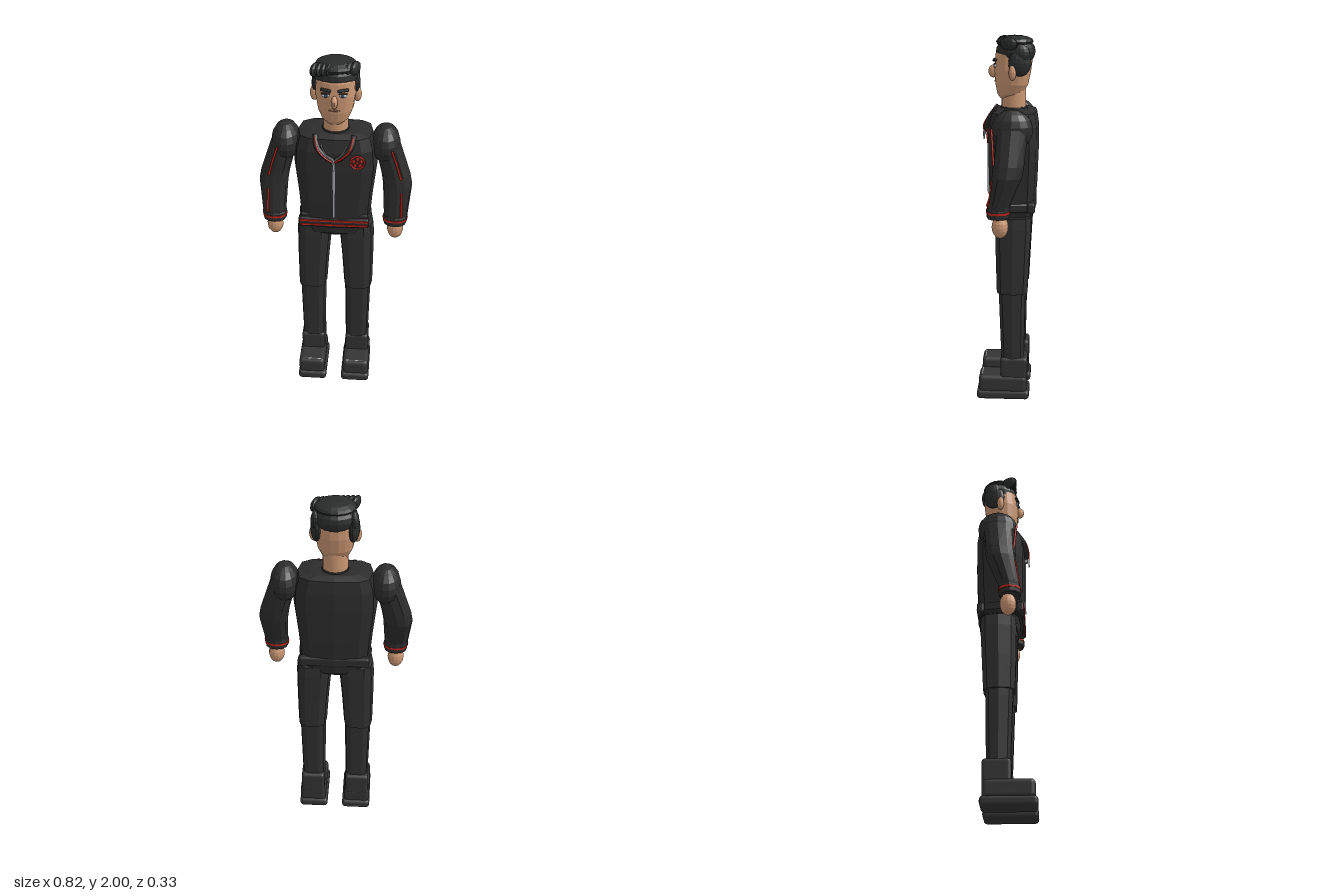
import * as THREE from 'three';
import { RoundedBoxGeometry } from 'three/addons/geometries/RoundedBoxGeometry.js';

const mat = (name, color) => {
  const m = new THREE.MeshStandardMaterial({ color });
  m.name = name;
  return m;
};

// Lofted, faceted body from rows [y, centreX, centreZ, radiusX, radiusZ], bottom to top
function loft(rows, sides = 12, power = 0.7) {
  const pos = [], idx = [];
  const bend = v => Math.sign(v) * Math.pow(Math.abs(v) < 1e-6 ? 0 : Math.abs(v), power);
  for (const [y, cx, cz, rx, rz] of rows)
    for (let j = 0; j < sides; j++) {
      const a = (j / sides) * Math.PI * 2;
      pos.push(cx + rx * bend(Math.cos(a)), y, cz + rz * bend(Math.sin(a)));
    }
  const top = (rows.length - 1) * sides, low = rows.length * sides;
  for (const r of [rows[0], rows[rows.length - 1]]) pos.push(r[1], r[0], r[2]);
  for (let j = 0; j < sides; j++) {
    const k = (j + 1) % sides;
    for (let i = 0; i < rows.length - 1; i++) {
      const a = i * sides + j, b = i * sides + k;
      idx.push(a, a + sides, b, b, a + sides, b + sides);
    }
    idx.push(low, j, k, low + 1, top + k, top + j);
  }
  const g = new THREE.BufferGeometry();
  g.setAttribute('position', new THREE.Float32BufferAttribute(pos, 3));
  g.setIndex(idx);
  return facet(g);
}

function facet(g) {
  const f = g.index ? g.toNonIndexed() : g;
  f.computeVertexNormals();
  return f;
}

const ball = (rx, ry, rz, w = 14, h = 10) => facet(new THREE.SphereGeometry(1, w, h).scale(rx, ry, rz));
const block = (w, h, d, r = 0.012) => new RoundedBoxGeometry(w, h, d, 2, r);
const cord = (pts, r) => new THREE.TubeGeometry(
  new THREE.CatmullRomCurve3(pts.map(p => new THREE.Vector3(...p))), 12, r, 6);

export function createModel() {
  const model = new THREE.Group();
  model.name = 'standingMan';
  const jacket = mat('jacketBlack', 0x2c2c2c), trouser = mat('trouserBlack', 0x303030);
  const boot = mat('bootBlack', 0x343434), hair = mat('hairBlack', 0x2a2b2b);
  const skin = mat('skin', 0xcb9773), red = mat('trimRed', 0xc4261c);
  const silver = mat('silver', 0xa4a6ab), white = mat('eyeWhite', 0xdfe3e6);
  const iris = mat('irisBlue', 0x3c4f60), lip = mat('lips', 0xa06a52);

  function add(name, geo, material, x = 0, y = 0, z = 0, parent = model) {
    const m = new THREE.Mesh(geo, material);
    m.name = name;
    m.position.set(x, y, z);
    parent.add(m);
    return m;
  }

  // Jacket body, hem and pelvis
  add('jacketBody', loft([
    [1.09, 0, -0.025, 0.19, 0.125], [1.22, 0, -0.027, 0.2, 0.133], [1.42, 0, -0.029, 0.222, 0.138],
    [1.53, 0, -0.03, 0.215, 0.137], [1.6, 0, -0.034, 0.195, 0.122], [1.615, 0, -0.034, 0.13, 0.085],
  ], 12, 0.6), jacket);
  add('jacketHem', loft([
    [1.065, 0, -0.025, 0.185, 0.122], [1.08, 0, -0.025, 0.198, 0.13],
    [1.115, 0, -0.025, 0.198, 0.13], [1.13, 0, -0.025, 0.188, 0.122],
  ], 12, 0.6), jacket);
  add('hemFront', block(0.375, 0.055, 0.04), jacket, 0, 1.098, 0.083);
  add('hemBack', block(0.375, 0.055, 0.04), jacket, 0, 1.098, -0.132);
  for (const y of [1.113, 1.088])
    add('hemStripe', new THREE.BoxGeometry(0.37, 0.009, 0.009), red, 0, y, 0.103);
  add('pelvis', loft([
    [0.975, 0, -0.03, 0.1, 0.06], [1.01, 0, -0.03, 0.165, 0.1], [1.08, 0, -0.03, 0.187, 0.115],
  ], 12, 0.6), trouser);

  // Zip
  add('zip', new THREE.BoxGeometry(0.012, 0.36, 0.014), silver, 0, 1.32, 0.106);
  add('zipSlider', block(0.02, 0.035, 0.014, 0.005), silver, 0, 1.485, 0.118);
  add('zipPull', block(0.012, 0.045, 0.008, 0.003), silver, 0, 1.465, 0.132);

  // Round chest badge: ring with a circle of studs
  const badge = new THREE.Group();
  badge.name = 'chestBadge';
  badge.position.set(0.122, 1.48, 0.1);
  model.add(badge);
  add('badgeRing', new THREE.TorusGeometry(0.036, 0.005, 6, 24), red, 0, 0, 0, badge);
  for (let i = 0; i < 5; i++) {
    const a = Math.PI / 2 + i * Math.PI * 0.4;
    add('badgeStud', ball(0.01, 0.01, 0.005, 8, 6), red, Math.cos(a) * 0.021, Math.sin(a) * 0.021, 0, badge);
  }
  add('badgeCentre', ball(0.007, 0.007, 0.005, 8, 6), red, 0, 0, 0, badge);

  // Neck and inner collar
  add('neck', new THREE.CylinderGeometry(0.066, 0.067, 0.16, 16), skin, 0, 1.65, -0.03);
  add('innerCollar', new THREE.CylinderGeometry(0.071, 0.085, 0.06, 16), jacket, 0, 1.592, -0.03);

  for (const s of [-1, 1]) {
    // Collar flap with red edge
    add('collarFlap', cord([[s * 0.1, 1.615, 0.06], [s * 0.085, 1.56, 0.1], [s * 0.045, 1.52, 0.115], [s * 0.008, 1.495, 0.115]], 0.014), jacket);
    add('collarTrim', cord([[s * 0.098, 1.61, 0.075], [s * 0.082, 1.555, 0.115], [s * 0.042, 1.516, 0.13], [s * 0.006, 1.492, 0.129]], 0.005), red);
    add('collarZip', cord([[s * 0.068, 1.575, 0.095], [s * 0.04, 1.535, 0.124], [s * 0.003, 1.5, 0.128]], 0.003), silver);
    add('pocket', block(0.06, 0.02, 0.025, 0.006), jacket, s * 0.15, 1.135, 0.075);

    // Arm
    add('shoulder', ball(0.077, 0.105, 0.11, 14, 9), jacket, s * 0.262, 1.532, -0.034);
    add('sleeve', loft([
      [1.085, s * 0.327, 0.035, 0.06, 0.054], [1.15, s * 0.33, 0.03, 0.065, 0.058],
      [1.3, s * 0.333, -0.012, 0.078, 0.078], [1.36, s * 0.322, -0.02, 0.077, 0.08],
      [1.54, s * 0.268, -0.034, 0.07, 0.085],
    ], 12, 0.9), jacket);
    add('cuff', loft([
      [1.083, s * 0.327, 0.035, 0.06, 0.055], [1.09, s * 0.327, 0.035, 0.064, 0.059],
      [1.128, s * 0.328, 0.033, 0.066, 0.06], [1.135, s * 0.328, 0.032, 0.063, 0.057],
    ], 12, 0.9), jacket);
    add('cuffStripe', loft([
      [1.109, s * 0.327, 0.034, 0.068, 0.062], [1.12, s * 0.328, 0.034, 0.068, 0.062],
    ], 12, 0.9), red);
    add('upperSleeveStripe', cord([[s * 0.296, 1.54, 0.07], [s * 0.325, 1.45, 0.062], [s * 0.35, 1.36, 0.056]], 0.006), red);
    add('lowerSleeveStripe', cord([[s * 0.355, 1.285, 0.063], [s * 0.36, 1.143, 0.083]], 0.006), red);
    add('hand', ball(0.044, 0.062, 0.044), skin, s * 0.33, 1.037, 0.024);

    // Leg
    add('thigh', loft([
      [0.62, s * 0.13, -0.03, 0.081, 0.086], [0.8, s * 0.125, -0.032, 0.088, 0.093],
      [0.98, s * 0.117, -0.035, 0.096, 0.1], [1.045, s * 0.117, -0.035, 0.09, 0.098],
    ], 10, 0.65), trouser);
    add('shin', loft([
      [0.22, s * 0.127, -0.033, 0.066, 0.064], [0.58, s * 0.128, -0.03, 0.073, 0.074],
      [0.65, s * 0.128, -0.03, 0.073, 0.076],
    ], 10, 0.65), trouser);

    // Boot
    add('bootShaft', block(0.135, 0.135, 0.15, 0.018), boot, s * 0.13, 0.178, -0.041);
    add('bootFoot', block(0.152, 0.1, 0.27, 0.025), boot, s * 0.13, 0.09, 0.02);
    add('bootSole', block(0.165, 0.053, 0.293, 0.02), boot, s * 0.127, 0.0265, 0.02);
    add('toeLine', new THREE.BoxGeometry(0.1, 0.005, 0.006), silver, s * 0.125, 0.138, 0.137);

    // Ear, eye and brow
    add('ear', ball(0.022, 0.042, 0.02), skin, s * 0.11, 1.81, -0.028);
    add('eye', ball(0.02, 0.011, 0.007), white, s * 0.044, 1.84, 0.066);
    add('iris', ball(0.009, 0.01, 0.005), iris, s * 0.043, 1.84, 0.072);
    add('eyelid', block(0.045, 0.006, 0.012, 0.003), hair, s * 0.044, 1.851, 0.068);
    const brow = add('eyebrow', block(0.056, 0.014, 0.016, 0.005), hair, s * 0.044, 1.869, 0.068);
    brow.rotation.set(0, s * 0.25, s * 0.08);

    // Hair above the ear
    const side = add('sideHair', ball(0.026, 0.07, 0.062), hair, s * 0.096, 1.858, -0.066);
    side.rotation.y = s * 0.2;
    add('sideTuft', ball(0.024, 0.055, 0.05), hair, s * 0.096, 1.9, -0.07);
  }

  // Head
  add('head', loft([
    [1.666, 0, 0, 0.04, 0.042], [1.69, 0, -0.01, 0.07, 0.068], [1.74, 0, -0.02, 0.092, 0.088],
    [1.82, 0, -0.026, 0.105, 0.099], [1.9, 0, -0.03, 0.102, 0.098], [1.95, 0, -0.03, 0.075, 0.075],
  ], 18, 0.9), skin);
  add('nose', ball(0.017, 0.034, 0.026), skin, 0, 1.808, 0.08);
  add('mouth', ball(0.03, 0.005, 0.008), lip, 0, 1.757, 0.066);

  // Hair cap and swept fringe
  add('hairCap', ball(0.114, 0.08, 0.106, 18, 10), hair, 0, 1.912, -0.04);
  add('hairTop', ball(0.108, 0.034, 0.1, 18, 8), hair, 0, 1.964, -0.035);
  for (let i = -4; i <= 4; i++) {
    const strand = add('fringeStrand', ball(0.019, 0.034, 0.052, 10, 8), hair,
      i * 0.0245, 1.957, 0.014 - i * 0.0035 - Math.abs(i) * 0.002);
    strand.rotation.set(-0.1, -0.4, 0);
  }
  return model;
}
